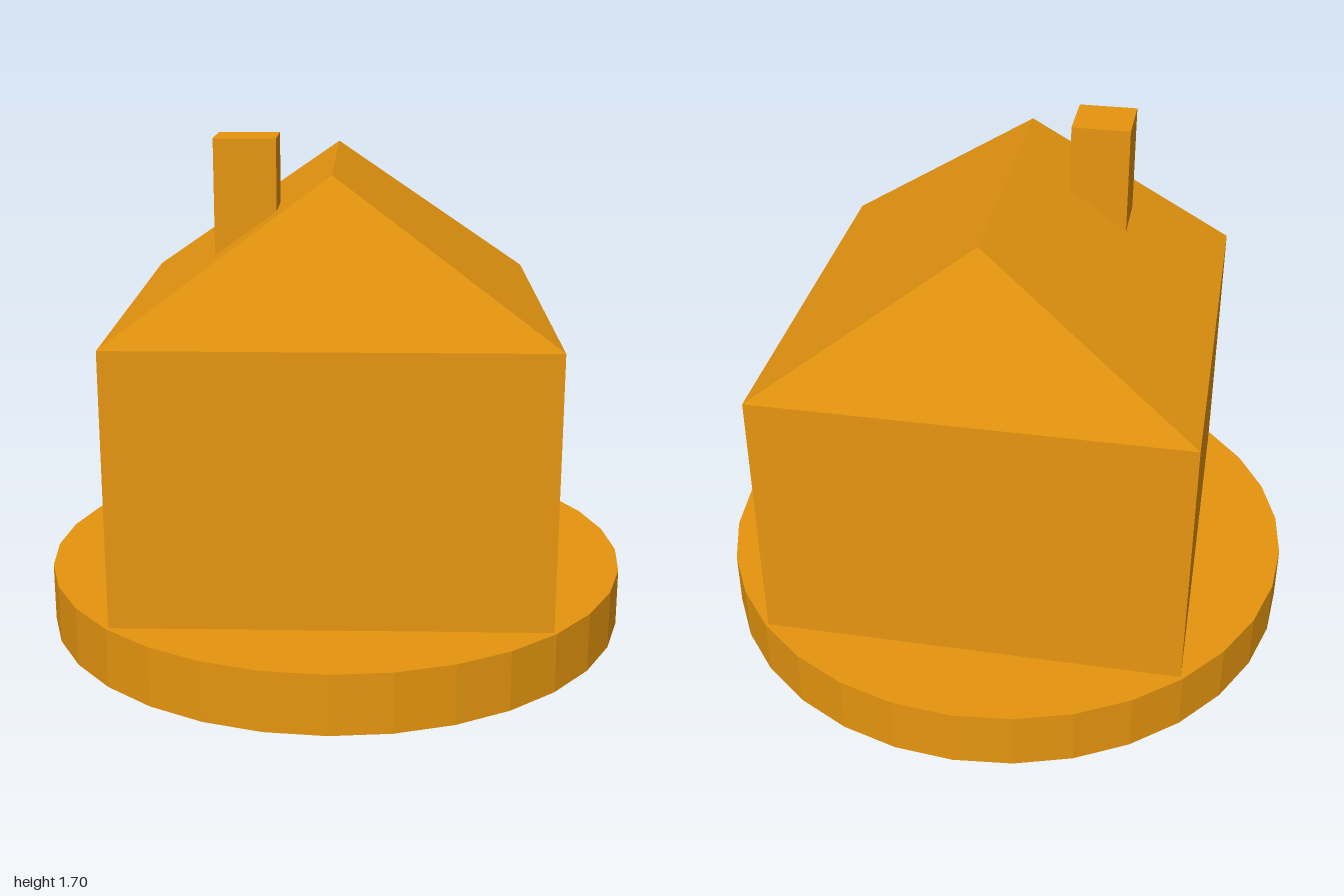
import * as THREE from 'three';
import { ConvexGeometry } from 'three/addons/geometries/ConvexGeometry.js';

export function createModel() {
  const model = new THREE.Group();
  model.name = 'house';
  const material = new THREE.MeshStandardMaterial({ color: 0xe6950f, flatShading: true });

  function add(name, geometry, x, y, z) {
    const mesh = new THREE.Mesh(geometry, material);
    mesh.name = name;
    mesh.position.set(x, y, z);
    model.add(mesh);
  }

  const half = 0.7;       // half width of the walls
  const ridge = 0.49;     // half length of the roof ridge
  const roofHeight = 0.5;

  // Round plinth
  add('base', new THREE.CylinderGeometry(1, 1, 0.2, 32), 0, 0.1, 0);

  // Square walls
  add('walls', new THREE.BoxGeometry(half * 2, 0.9, half * 2), 0, 0.65, 0);

  // Hipped roof: four eave corners and a ridge running front to back
  const corners = [];
  for (const s of [-1, 1]) {
    corners.push(
      new THREE.Vector3(-half, 0, s * half),
      new THREE.Vector3(half, 0, s * half),
      new THREE.Vector3(0, roofHeight, s * ridge)
    );
  }
  add('roof', new ConvexGeometry(corners), 0, 1.1, 0);

  // Chimney, sunk into the right slope
  add('chimney', new THREE.BoxGeometry(0.195, 0.4, 0.2), -0.272, 1.5, 0.3);

  return model;
}
